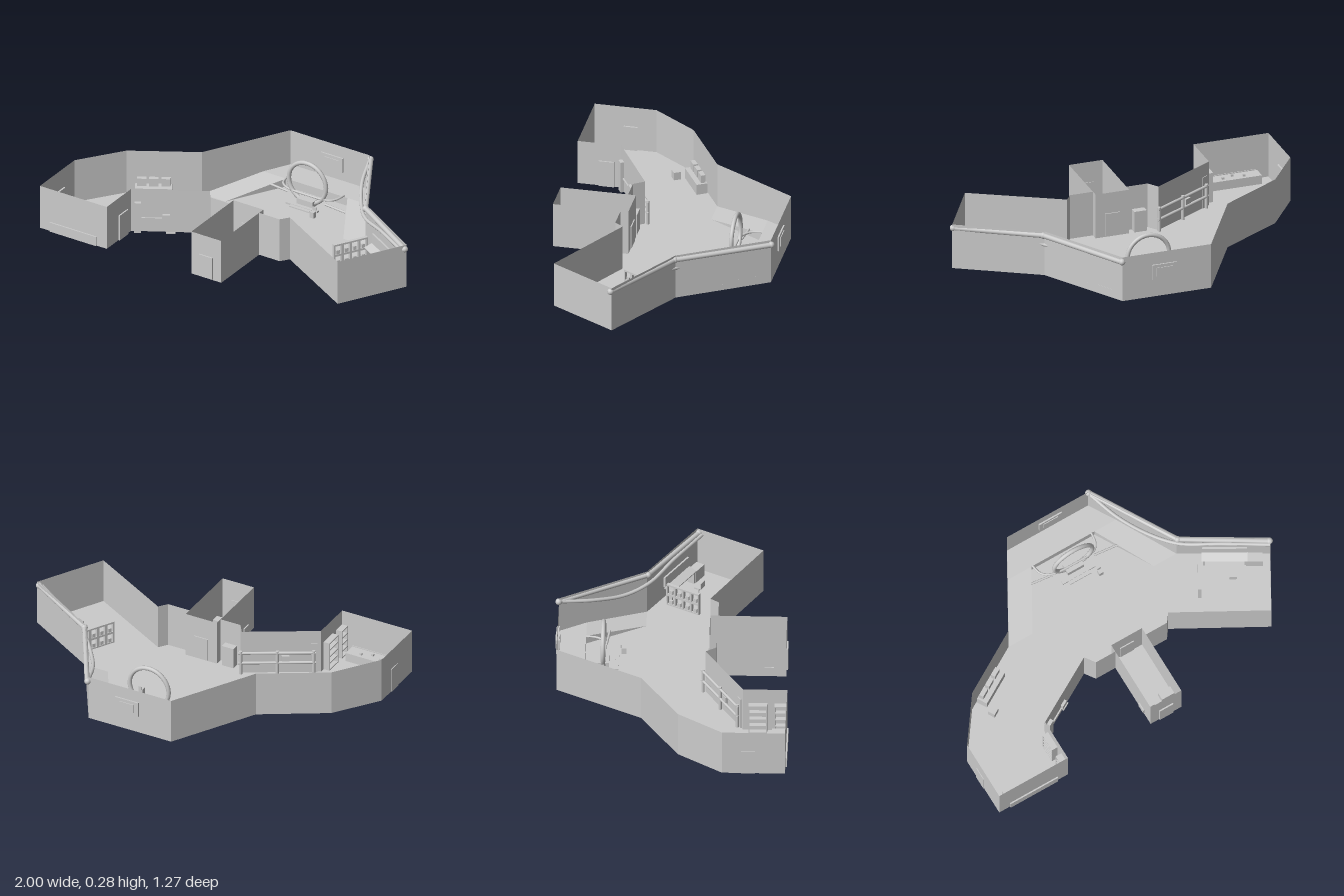
import * as THREE from 'three';

const FLOOR = 0.022, TOP = 0.277;
const mat = new THREE.MeshStandardMaterial({ color: 0xcccccc, side: THREE.DoubleSide, flatShading: true });
const smooth = new THREE.MeshStandardMaterial({ color: 0xcccccc });

// Room outline as [x, z], starting at the rear right corner
const outline = [
  [-0.217, -0.615], [0.285, -0.615], [0.56, -0.155], [0.99, 0.1], [0.785, 0.46],
  [0.305, 0.19], [0.27, 0.237], [0.14, 0.237], [-0.05, 0.237], [-0.17, 0.237], [-0.21, 0.18],
  [-0.575, 0.39], [-0.575, 0.627], [-1, 0.627], [-1, 0.29], [-0.826, 0.05], [-0.48, -0.155],
];
// Narrow entrance cabin that crosses the front wall
const cabin = [[-0.05, 0.195], [0.14, 0.195], [0.14, 0.606], [-0.05, 0.606]];

export function createModel() {
  const root = new THREE.Group();
  const add = (name, geo, m = mat, parent = root) => {
    const mesh = new THREE.Mesh(geo, m);
    mesh.name = name;
    parent.add(mesh);
    return mesh;
  };
  const box = (name, w, h, d, x, y, z, ry = 0, parent = root) => {
    const mesh = add(name, new THREE.BoxGeometry(w, h, d), mat, parent);
    mesh.position.set(x, y, z);
    mesh.rotation.y = ry;
    return mesh;
  };
  const quads = (name, list) => {
    const pos = [];
    for (const [a, b, c, d] of list) pos.push(...a, ...b, ...c, ...a, ...c, ...d);
    const geo = new THREE.BufferGeometry();
    geo.setAttribute('position', new THREE.Float32BufferAttribute(pos, 3));
    geo.computeVertexNormals();
    return add(name, geo);
  };
  const pipe = (name, pts, r, curved = false) => {
    const v = pts.map((p) => new THREE.Vector3(...p));
    if (curved) return add(name, new THREE.TubeGeometry(new THREE.CatmullRomCurve3(v), 32, r, 10), smooth);
    const path = new THREE.CurvePath();
    for (let i = 1; i < v.length; i++) path.add(new THREE.LineCurve3(v[i - 1], v[i]));
    return add(name, new THREE.TubeGeometry(path, 24, r, 10), smooth);
  };
  // Group whose x axis runs along the line from a to b
  const along = (name, a, b) => {
    const g = new THREE.Group();
    g.name = name;
    g.position.set((a[0] + b[0]) / 2, 0, (a[1] + b[1]) / 2);
    g.rotation.y = Math.atan2(a[1] - b[1], b[0] - a[0]);
    g.userData.length = Math.hypot(b[0] - a[0], b[1] - a[1]);
    root.add(g);
    return g;
  };
  const floor = (name, pts) => {
    const geo = new THREE.ShapeGeometry(new THREE.Shape(pts.map(([x, z]) => new THREE.Vector2(x, -z))));
    add(name, geo.rotateX(-Math.PI / 2).translate(0, FLOOR, 0));
  };
  const walls = (name, pts, skip = -1) => quads(name, pts.flatMap((a, i) => {
    const b = pts[(i + 1) % pts.length];
    return i === skip ? [] : [[[a[0], FLOOR, a[1]], [b[0], FLOOR, b[1]], [b[0], TOP, b[1]], [a[0], TOP, a[1]]]];
  }));

  // Shell
  floor('floor', outline);
  walls('outerWalls', outline, 7);
  floor('cabinFloor', [[-0.05, 0.237], [0.14, 0.237], [0.14, 0.606], [-0.05, 0.606]]);
  walls('cabinWalls', cabin);

  // Raised rear deck with a ramp on each side of the central well
  const deck = 0.07, ramps = [];
  for (const [xo, xi, to, ti] of [[-0.48, -0.33, -0.296, -0.15], [0.56, 0.42, 0.372, 0.24]]) {
    ramps.push([[xo, FLOOR, -0.155], [xi, FLOOR, -0.155], [ti, deck, -0.47], [to, deck, -0.47]]);
    ramps.push([[xi, FLOOR, -0.155], [ti, FLOOR, -0.47], [ti, deck, -0.47], [ti, deck, -0.47]]);
  }
  // keep the upper faces of both ramps turned upward
  ramps[0].reverse();
  quads('sideRamps', ramps);
  quads('rearDeck', [
    [[-0.296, deck, -0.47], [0.372, deck, -0.47], [0.285, deck, -0.615], [-0.217, deck, -0.615]],
    [[-0.15, FLOOR, -0.47], [0.24, FLOOR, -0.47], [0.24, deck, -0.47], [-0.15, deck, -0.47]],
  ]);

  // Upright ring in the well, with its base, rails and steps
  const ring = add('ring', new THREE.TorusGeometry(0.118, 0.012, 10, 40), smooth);
  ring.position.set(0.05, 0.15, -0.372);
  box('ringBase', 0.1, 0.035, 0.06, 0.05, FLOOR + 0.017, -0.372);
  pipe('wellRail', [[-0.145, 0.08, -0.47], [-0.13, 0.08, -0.41], [-0.08, 0.08, -0.375], [0.05, 0.08, -0.365],
    [0.18, 0.08, -0.375], [0.21, 0.08, -0.41], [0.22, 0.08, -0.47]], 0.006, true);
  pipe('crossRailRight', [[-0.2, 0.06, -0.39], [-0.075, 0.06, -0.375]], 0.006);
  pipe('crossRailLeft', [[0.17, 0.06, -0.36], [0.31, 0.06, -0.345]], 0.006);
  for (let i = 0; i < 2; i++) box('wellStep', 0.2 - i * 0.07, 0.012 - i * 0.005, 0.02, 0.05, FLOOR + 0.004, -0.32 + i * 0.02);
  box('stool', 0.025, 0.035, 0.025, 0.155, FLOOR + 0.017, -0.265);
  box('stoolBack', 0.02, 0.02, 0.006, 0.155, FLOOR + 0.045, -0.28);

  // Panel on both sides of the rear wall
  box('rearPanel', 0.14, 0.085, 0.016, 0.05, 0.165, -0.615);
  box('rearPanelScreen', 0.09, 0.05, 0.024, 0.05, 0.165, -0.615);

  // Large pipes along the left walls
  const y = 0.252;
  pipe('upperPipeRear', [[0.29, y, -0.622], [0.565, y, -0.15]], 0.014);
  pipe('upperPipeFront', [[0.565, y, -0.15], [0.985, y, 0.11]], 0.014);
  pipe('saggingPipe', [[0.295, 0.25, -0.6], [0.36, 0.22, -0.43], [0.46, 0.19, -0.27], [0.57, 0.2, -0.14],
    [0.75, 0.23, -0.02], [0.975, 0.245, 0.125]], 0.01, true);
  for (const [px, pz] of [[0.29, -0.618], [0.565, -0.15], [0.982, 0.108]]) {
    const c = add('pipeCollar', new THREE.SphereGeometry(0.018, 12, 8), smooth);
    c.position.set(px, y, pz);
  }

  // Rack of open frames across the left wing
  const rack = along('frameRack', [0.54, 0.125], [0.64, -0.05]);
  const L = rack.userData.length, H = 0.13;
  const face = new THREE.Shape([[-L / 2, 0], [L / 2, 0], [L / 2, H], [-L / 2, H]].map((p) => new THREE.Vector2(...p)));
  for (let i = 0; i < 4; i++) for (let j = 0; j < 2; j++) {
    const w = L / 4, x0 = -L / 2 + i * w + 0.007, x1 = x0 + w - 0.014, y0 = 0.008 + j * 0.062, y1 = y0 + 0.05;
    face.holes.push(new THREE.Path([[x0, y0], [x0, y1], [x1, y1], [x1, y0]].map((p) => new THREE.Vector2(...p))));
    box('rackItem', w * 0.4, 0.022, 0.012, (x0 + x1) / 2, FLOOR + y0 + 0.011, 0, 0, rack);
  }
  add('rackFrame', new THREE.ExtrudeGeometry(face, { depth: 0.018, bevelEnabled: false }).translate(0, FLOOR, -0.009), mat, rack);

  // Sloping console, chair and cabinet in the left wing
  const desk = along('leftConsole', [0.635, -0.02], [0.85, 0.105]);
  box('consoleTop', 0.245, 0.01, 0.05, 0, 0.1, -0.03, 0, desk).rotation.x = 0.35;
  box('consoleScreen', 0.24, 0.06, 0.01, 0, 0.14, -0.055, 0, desk);
  for (const s of [-1, 1]) box('consoleLeg', 0.01, 0.075, 0.04, s * 0.11, FLOOR + 0.037, -0.03, 0, desk);
  box('chairSeat', 0.04, 0.008, 0.035, 0.75, 0.06, 0.115, -0.5);
  box('chairBack', 0.04, 0.035, 0.006, 0.74, 0.08, 0.135, -0.5);
  box('chairPost', 0.008, 0.035, 0.008, 0.75, 0.04, 0.115);
  box('endCabinet', 0.09, 0.07, 0.05, 0.895, FLOOR + 0.035, 0.095, -0.53);

  // Entrance cabin doors and fittings
  box('frontDoor', 0.085, 0.13, 0.012, 0.045, 0.093, 0.608);
  box('innerDoor', 0.085, 0.13, 0.012, 0.045, 0.093, 0.195);
  box('cabinSeat', 0.07, 0.04, 0.05, -0.022, 0.06, 0.515);
  box('cabinSeat', 0.075, 0.04, 0.045, 0.1, 0.06, 0.515);
  box('wallCabinet', 0.07, 0.12, 0.04, -0.115, FLOOR + 0.06, 0.215);

  // Double hand rail inside the slanted front wall
  for (const ry of [0.09, 0.15]) pipe('handRail', [[-0.56, ry, 0.365], [-0.2, ry, 0.16]], 0.008);
  for (const t of [0.03, 0.5, 0.97]) {
    const p = add('railPost', new THREE.CylinderGeometry(0.009, 0.009, 0.14, 10), smooth);
    p.position.set(-0.56 + 0.36 * t, FLOOR + 0.07, 0.365 - 0.205 * t);
  }
  // Post, rod and switch box outside the same wall
  const slant = along('slantedWallFittings', [-0.575, 0.39], [-0.21, 0.18]);
  box('tallPost', 0.035, 0.18, 0.025, -0.175, FLOOR + 0.09, 0.008, 0, slant);
  box('rod', 0.11, 0.006, 0.008, -0.1, 0.105, 0.006, 0, slant);
  box('switchBox', 0.04, 0.04, 0.03, -0.022, 0.11, 0, 0, slant);

  // Shelves and doors in the right wing
  for (const [z, d] of [[0.47, 0.1], [0.592, 0.065]]) {
    box('shelfBack', 0.006, 0.17, d, -0.58, FLOOR + 0.085, z);
    for (const s of [-1, 1]) box('shelfSide', 0.035, 0.17, 0.006, -0.593, FLOOR + 0.085, z + s * (d / 2 - 0.003));
    for (let i = 0; i < 5; i++) box('shelfBoard', 0.035, 0.006, d, -0.593, FLOOR + 0.003 + i * 0.041, z);
  }
  box('sideDoor', 0.012, 0.15, 0.085, -0.573, FLOOR + 0.075, 0.47);
  box('endDoor', 0.014, 0.14, 0.075, -0.997, FLOOR + 0.07, 0.43);
  box('frontBench', 0.295, 0.05, 0.075, -0.787, FLOOR + 0.026, 0.585);
  box('frontBenchPanel', 0.295, 0.055, 0.012, -0.787, FLOOR + 0.028, 0.629);
  for (let i = 0; i < 3; i++) box('benchItem', 0.014, 0.012, 0.012, -0.84 + i * 0.06, 0.08, 0.57 + (i % 2) * 0.02);

  // Control desk against the rear wall of the right wing
  const control = along('controlDesk', [-0.78, 0.045], [-0.6, -0.062]);
  box('deskBody', 0.2, 0.06, 0.06, 0, FLOOR + 0.03, 0.015, 0, control);
  for (let i = 0; i < 3; i++) box('deskMonitor', 0.05, 0.045, 0.025, (i - 1) * 0.065, 0.105, 0.005, 0, control);
  box('deskChair', 0.04, 0.045, 0.04, -0.74, FLOOR + 0.022, 0.125, 0.53);

  // Underside hatches
  const hatch = add('bottomHatch', new THREE.CylinderGeometry(0.075, 0.05, 0.02, 24), smooth);
  hatch.position.set(0.05, 0.011, -0.365);
  hatch.scale.z = 0.25;
  box('bottomVent', 0.05, 0.008, 0.05, -0.4, 0.018, 0.27, 0.52);
  return root;
}
